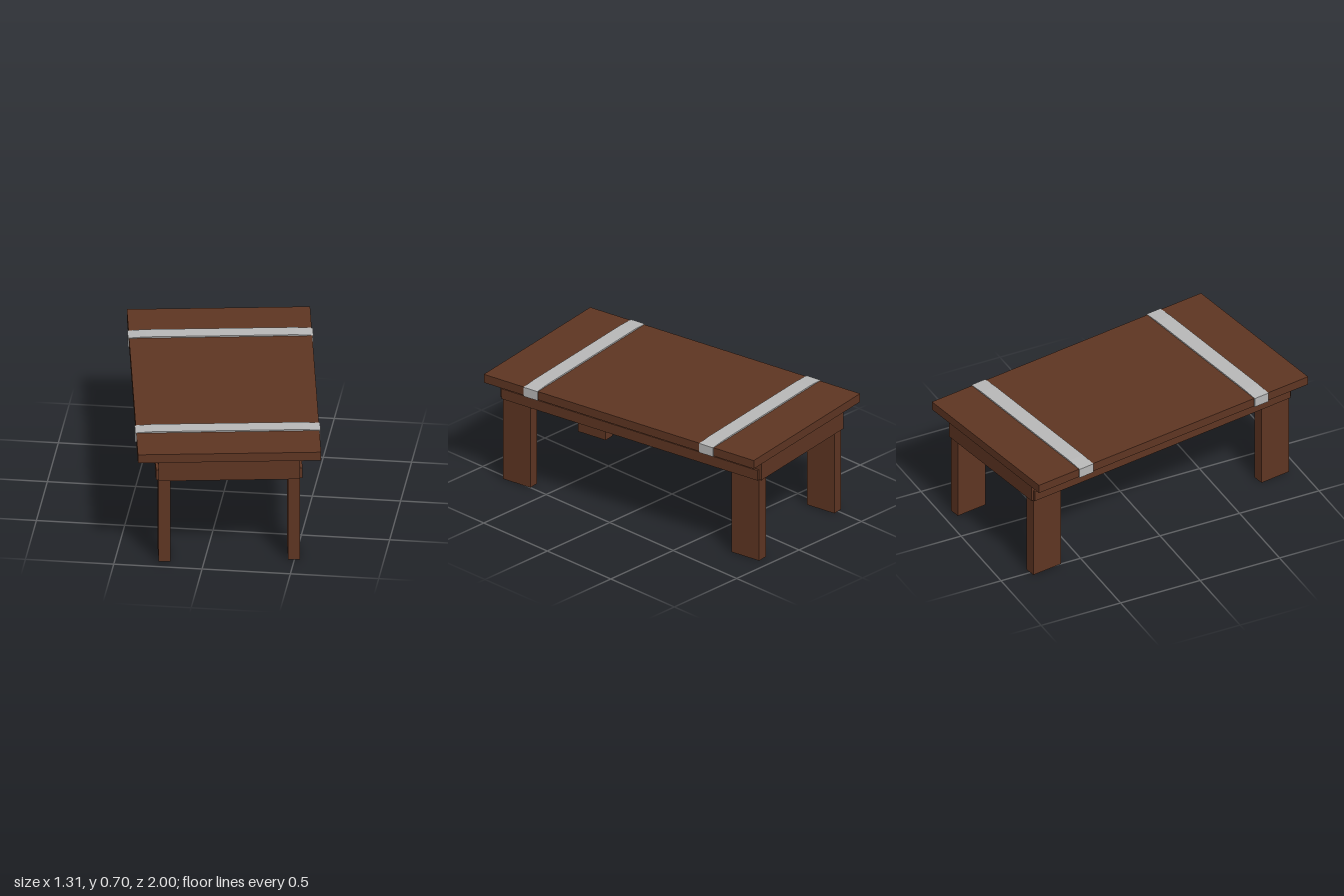
import * as THREE from 'three';

export function createModel() {
  const model = new THREE.Group();
  model.name = 'table';
  const wood = new THREE.MeshStandardMaterial({ color: 0x5e3522 });
  wood.name = 'brown wood';
  const metal = new THREE.MeshStandardMaterial({ color: 0xb8b8b8 });
  metal.name = 'grey metal';

  // The whole table stands turned a little about the vertical
  const table = new THREE.Group();
  table.name = 'turnedTable';
  table.rotation.y = 0.157;
  model.add(table);

  // Box spanning y0..y1, centred on x and z
  const box = (name, w, d, y0, y1, x, z) => {
    const mesh = new THREE.Mesh(new THREE.BoxGeometry(w, y1 - y0, d), wood);
    mesh.name = name;
    mesh.position.set(x, (y0 + y1) / 2, z);
    table.add(mesh);
  };

  box('tableTop', 1.03, 1.862, 0.64, 0.692, 0, 0);

  // Strap outline: a flat band with gently sloping ends
  const X = 0.521, slope = 0.1, lo = 0.631, hi = 0.7, drop = 0.006;
  const outline = new THREE.Shape([
    [-X, lo + drop], [-X + slope, lo], [X - slope, lo], [X, lo + drop],
    [X, hi - drop], [X - slope, hi], [-X + slope, hi], [-X, hi - drop],
  ].map(([x, y]) => new THREE.Vector2(x, y)));
  const strapWidth = 0.096;
  const strapGeometry = new THREE.ExtrudeGeometry(outline, { depth: strapWidth, bevelEnabled: false });
  strapGeometry.translate(0, 0, -strapWidth / 2);

  for (const s of [-1, 1]) {
    const end = s > 0 ? 'front' : 'back';
    const side = s > 0 ? 'left' : 'right';

    // End apron and side rail, slightly proud of the legs
    box(end + 'Apron', 0.795, 0.03, 0.51, 0.64, 0, s * 0.884);
    box(side + 'Rail', 0.03, 1.768, 0.51, 0.573, s * 0.397, 0);

    // Flat plank legs
    for (const t of [-1, 1]) {
      box(end + (t > 0 ? 'Left' : 'Right') + 'Leg', 0.065, 0.19, 0, 0.64, t * 0.364, s * 0.789);
    }

    const strap = new THREE.Mesh(strapGeometry, metal);
    strap.name = end + 'Strap';
    strap.position.z = s * 0.606;
    table.add(strap);
  }
  return model;
}
